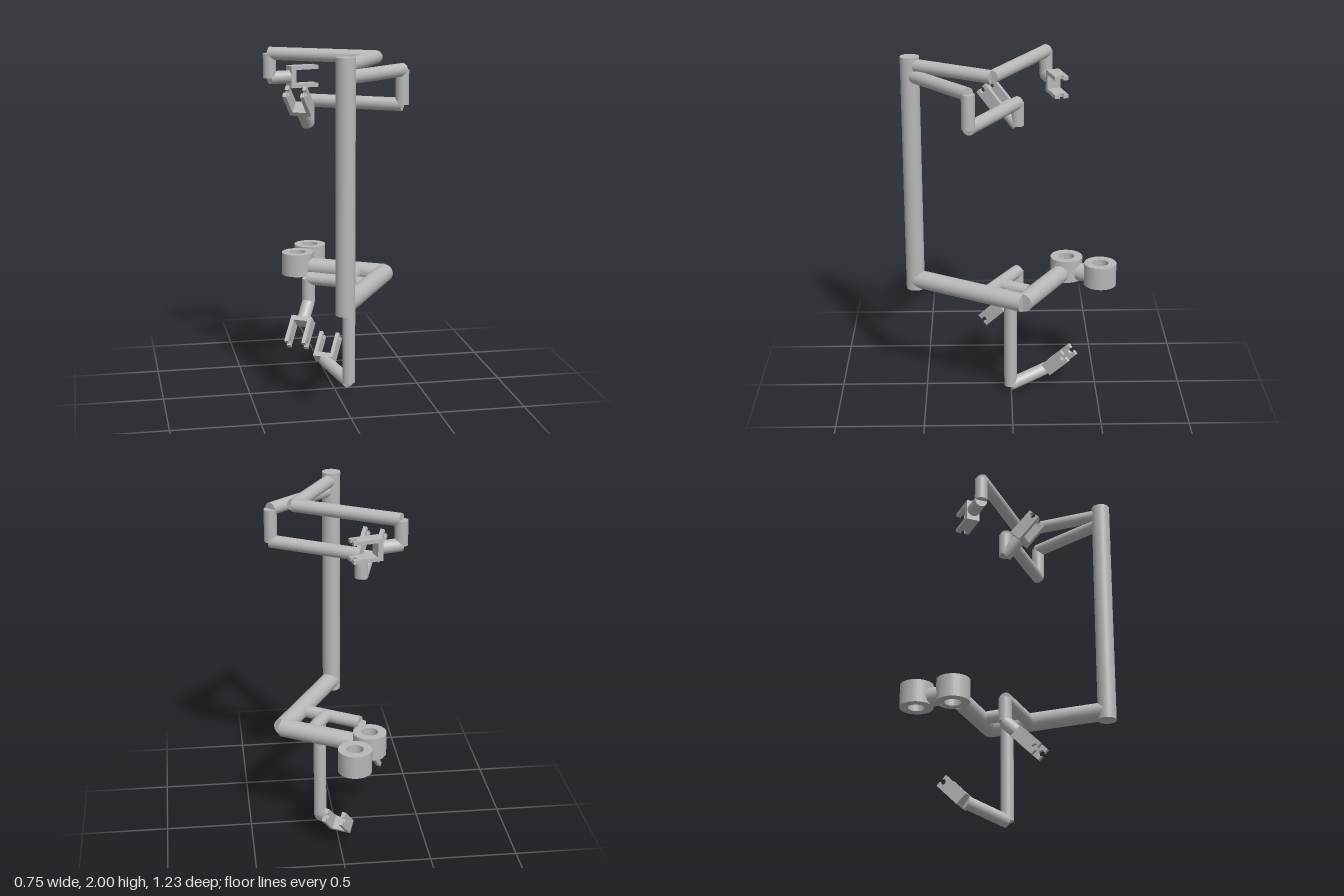
import * as THREE from 'three';
import { toCreasedNormals } from 'three/addons/utils/BufferGeometryUtils.js';

const V = (x, y, z) => new THREE.Vector3(x, y, z);

export function createModel() {
  const model = new THREE.Group();
  const grey = new THREE.MeshStandardMaterial({ color: 0xb8b8b8 });
  const THICK = 0.053, THIN = 0.037;

  const add = (parent, name, geometry) => {
    const mesh = new THREE.Mesh(geometry, grey);
    mesh.name = name;
    parent.add(mesh);
    return mesh;
  };

  // Flat-ended round bar between two points
  function bar(parent, name, a, b, r) {
    const dir = b.clone().sub(a);
    const mesh = add(parent, name, new THREE.CylinderGeometry(r, r, dir.length(), 40));
    mesh.position.copy(a).add(b).multiplyScalar(0.5);
    mesh.quaternion.setFromUnitVectors(V(0, 1, 0), dir.normalize());
  }

  // Chain of bars through a list of joints
  function chain(name, joints, r) {
    const group = new THREE.Group();
    group.name = name;
    for (let i = 1; i < joints.length; i++) bar(group, name + 'Link' + i, joints[i - 1], joints[i], r);
    model.add(group);
    return group;
  }

  // Gripper finger outline: a plate with a round notch open at the tip
  const LENGTH = 0.17, HALF = 0.039, SPREAD = 0.0625, PLATE = 0.022;
  const notchR = 0.017, notchX = LENGTH - 0.014, open = Math.acos(0.014 / notchR);
  const lip = notchR * Math.sin(open);
  const outline = new THREE.Shape();
  outline.moveTo(0, -HALF);
  outline.lineTo(LENGTH, -HALF);
  outline.lineTo(LENGTH, -lip);
  outline.absarc(notchX, 0, notchR, 2 * Math.PI - open, open, true);
  outline.lineTo(LENGTH, HALF);
  outline.lineTo(0, HALF);
  outline.closePath();
  const fingerGeo = toCreasedNormals(
    new THREE.ExtrudeGeometry(outline, { depth: PLATE, bevelEnabled: false, curveSegments: 20 }), 0.6);

  // Gripper: base block and two fingers, pointing along dir, fingers apart along across
  function gripper(parent, at, dir, across) {
    const group = new THREE.Group();
    group.name = 'gripper';
    const x = dir.clone().normalize();
    const y = across.clone().cross(x).normalize();
    const z = x.clone().cross(y);
    group.quaternion.setFromRotationMatrix(new THREE.Matrix4().makeBasis(x, y, z));
    group.position.copy(at);
    const base = add(group, 'gripperBase', new THREE.BoxGeometry(0.03, HALF * 2, (SPREAD - PLATE) * 2));
    base.position.x = 0.015;
    add(group, 'fingerA', fingerGeo).position.z = SPREAD - PLATE;
    add(group, 'fingerB', fingerGeo).position.z = -SPREAD;
    parent.add(group);
  }

  // Main post
  bar(model, 'post', V(-0.045, 0.615, 0.556), V(-0.045, 2, 0.556), THICK);

  // Lower thick arm ending at two rings
  const ringA = V(-0.162, 0.672, -0.33), ringB = V(-0.055, 0.672, -0.522);
  const elbow = V(0.308, 0.672, -0.061);
  const along = (a, b, d) => a.clone().add(b.clone().sub(a).setLength(d));
  const lower = chain('lowerArm', [V(-0.045, 0.672, 0.556), elbow, along(ringA, elbow, 0.085)], THICK);
  bar(lower, 'ringConnector', along(ringA, ringB, 0.072), along(ringB, ringA, 0.072), THICK);

  // Rings with through holes
  const ringShape = new THREE.Shape().absarc(0, 0, 0.094, 0, Math.PI * 2);
  ringShape.holes.push(new THREE.Path().absarc(0, 0, 0.047, 0, Math.PI * 2, true));
  const ringGeo = toCreasedNormals(
    new THREE.ExtrudeGeometry(ringShape, { depth: 0.133, bevelEnabled: false, curveSegments: 48 }).rotateX(-Math.PI / 2), 0.6);
  for (const c of [ringA, ringB]) add(model, 'ring', ringGeo).position.set(c.x, 0.622, c.z);

  const across = V(0.868, 0, 0.497);
  const WRIST = 0.12;
  // Extends a chain with a wrist bar and puts a gripper on its end
  function grippingArm(name, joints, dir, apart) {
    const d = dir.clone().normalize();
    const end = joints[joints.length - 1].clone().addScaledVector(d, WRIST);
    gripper(chain(name, [...joints, end], THIN), end, d, apart);
  }

  // Highest arm, gripper held level
  grippingArm('topArm', [
    V(-0.045, 1.952, 0.556), V(0.214, 1.952, 0.107), V(-0.337, 1.952, -0.207), V(-0.337, 1.813, -0.207),
  ], V(0.966, 0, -0.26), V(0, 1, 0));

  // Second arm, gripper raised
  grippingArm('upperArm', [
    V(-0.045, 1.893, 0.556), V(0.334, 1.893, 0.234), V(0.334, 1.703, 0.234),
    V(-0.145, 1.703, -0.04), V(-0.145, 1.57, -0.04),
  ], V(-0.354, 0.707, 0.612), across);

  // Branch of the lower arm, gripper lowered
  grippingArm('branchArm', [
    V(0.183, 0.668, 0.158), V(-0.145, 0.668, -0.04), V(-0.145, 0.53, -0.04),
  ], V(-0.354, -0.707, 0.612), across);

  // Cross bar carrying the hanging arm
  bar(model, 'crossBar', V(0.037, 0.668, 0.08), V(0.138, 0.668, -0.096), THIN);
  const hand = V(-0.018, 0.102, -0.236);
  const hanging = chain('hangingArm', [V(0.085, 0.668, 0.005), V(0.085, 0.037, 0.005), hand], THIN);
  gripper(hanging, hand, V(0.354, 0.707, -0.612), across);

  return model;
}
